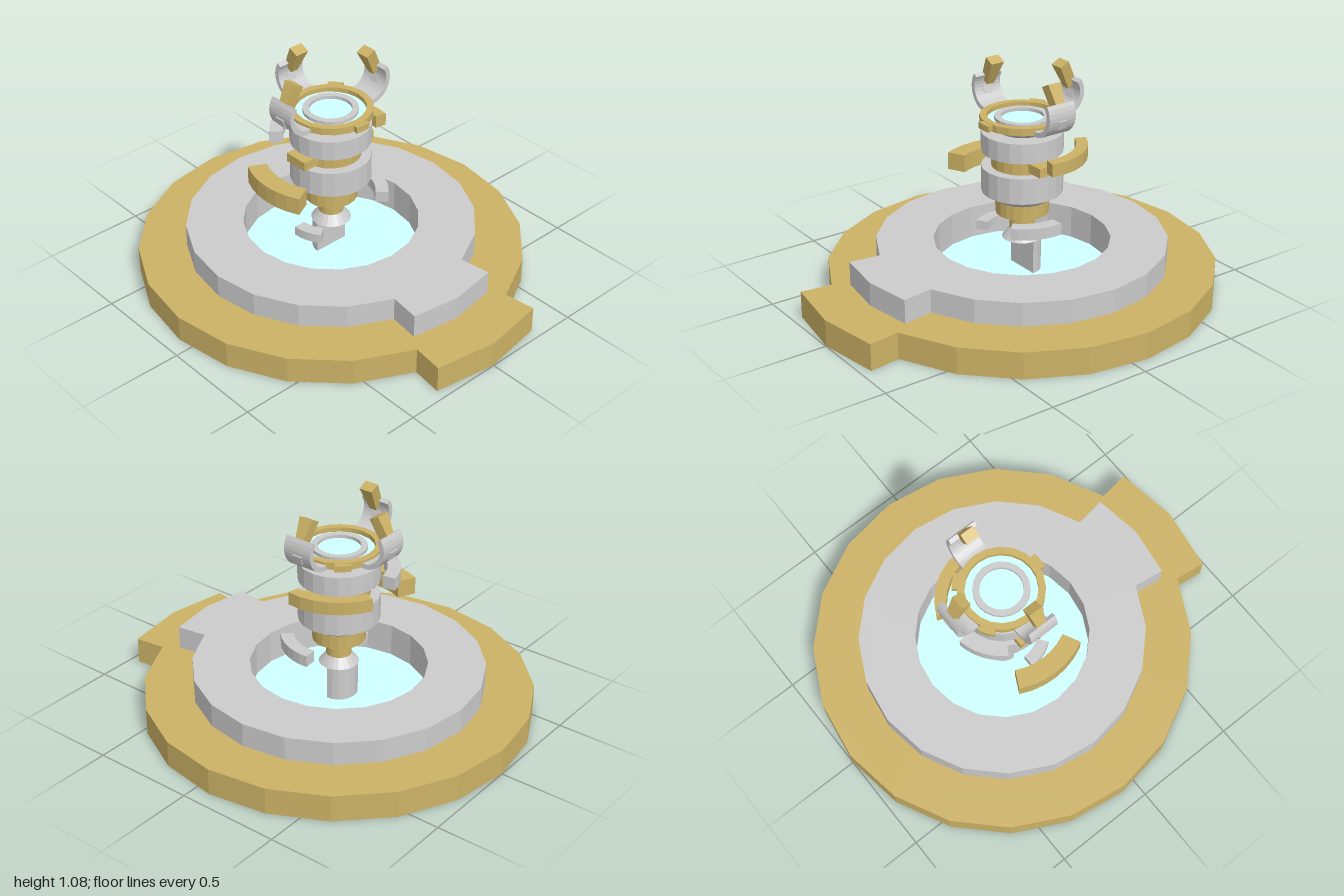
import * as THREE from 'three';

const paint = (color) => new THREE.MeshStandardMaterial({ color, flatShading: true, side: THREE.DoubleSide });
const SIDES = 20;

export function createModel() {
  const model = new THREE.Group();
  model.position.z = -0.077; // the round plan sits behind the front tab
  const grey = paint(0xcccccc), gold = paint(0xccb266), aqua = paint(0xd0ffff);

  const add = (name, geometry, material, parent = model) => {
    const mesh = new THREE.Mesh(geometry, material);
    mesh.name = name;
    parent.add(mesh);
    return mesh;
  };

  // Point on a circle in plan; angle in degrees from the front towards +x
  const polar = (r, deg) => {
    const a = THREE.MathUtils.degToRad(deg);
    return new THREE.Vector2(r * Math.sin(a), r * Math.cos(a));
  };
  const arcPoints = (r, from, to, n) =>
    Array.from({ length: n + 1 }, (_, i) => polar(r, from + ((to - from) * i) / n));
  const circle = (r) => arcPoints(r, 0, 360, SIDES).slice(0, SIDES);

  // Plan outline raised from y0 to y1
  const slab = (outline, y0, y1, hole) => {
    const shape = new THREE.Shape(outline);
    if (hole) shape.holes.push(new THREE.Path(hole));
    return new THREE.ExtrudeGeometry(shape, { depth: y1 - y0, bevelEnabled: false })
      .rotateX(Math.PI / 2).translate(0, y1, 0);
  };
  const sector = (rIn, rOut, from, to, n = 6) =>
    [...arcPoints(rOut, from, to, n), ...arcPoints(rIn, to, from, n)];
  const frustum = (r0, r1, y0, y1) =>
    new THREE.CylinderGeometry(r1, r0, y1 - y0, SIDES).translate(0, (y0 + y1) / 2, 0);

  // Twenty-sided plate outline with a tab at the front
  const tabbed = (r, tabX, tabZ, tipZ) => [
    ...arcPoints(r, 18, 342, 18),
    new THREE.Vector2(-tabX, tabZ), new THREE.Vector2(0, tipZ), new THREE.Vector2(tabX, tabZ),
  ];

  // Base plates with a sunken pool
  const baseOutline = tabbed(0.923, 0.305, 1.028, 1.075);
  add('baseFloor', slab(baseOutline, 0, 0.07), gold);
  add('baseRim', slab(baseOutline, 0.07, 0.13, circle(0.43)), gold);
  add('upperPlate', slab(tabbed(0.692, 0.235, 0.807, 0.842), 0.13, 0.245, circle(0.42)), grey);
  add('poolWall', new THREE.CylinderGeometry(0.42, 0.42, 0.06, SIDES, 1, true).translate(0, 0.1, 0), grey);
  add('pool', frustum(0.42, 0.42, 0.072, 0.085), aqua);

  // Half-round post under the column
  add('post', slab(arcPoints(0.09, 90, 270, 10), 0.085, 0.25), grey);

  // Column: bottom radius, top radius, bottom, top
  [
    ['columnFoot', 0.095, 0.06, 0.25, 0.295, grey],
    ['columnStem', 0.06, 0.06, 0.295, 0.38, gold],
    ['columnCollar', 0.126, 0.126, 0.38, 0.455, gold],
    ['lowerDrumTaper', 0.128, 0.192, 0.45, 0.49, grey],
    ['lowerDrum', 0.192, 0.192, 0.49, 0.615, grey],
    ['waist', 0.145, 0.145, 0.615, 0.69, gold],
    ['upperDrum', 0.192, 0.192, 0.69, 0.785, grey],
    ['cup', 0.11, 0.188, 0.785, 0.832, grey],
    ['cupPool', 0.17, 0.17, 0.83, 0.84, aqua],
  ].forEach(([name, r0, r1, y0, y1, material]) => add(name, frustum(r0, r1, y0, y1), material));
  for (const s of [-1, 1]) {
    add('waistBoss', new THREE.BoxGeometry(0.1, 0.045, 0.12).translate(s * 0.165, 0.65, 0), gold);
  }

  // Cup rim, its tabs and the inner ring
  add('cupRim', slab(circle(0.198), 0.828, 0.862, circle(0.165)), gold);
  for (const angle of [0, 132, 214]) {
    add('rimTab', slab(sector(0.18, 0.222, angle - 10, angle + 10, 2), 0.83, 0.86), gold);
  }
  add('innerRing', slab(circle(0.13), 0.835, 0.856, circle(0.1)), grey);

  // Floating arcs: inner and outer radius, angles, bottom and top
  [
    ['leftGoldArc', 0.305, 0.395, 243, 297, 0.515, 0.6, gold],
    ['rightGoldArc', 0.25, 0.305, 80, 157, 0.66, 0.722, gold],
    ['backGreyArc', 0.22, 0.282, 190, 238, 0.692, 0.752, grey],
    ['frontGreyArc', 0.21, 0.272, 42, 95, 0.347, 0.403, grey],
    ['lowGreyArc', 0.17, 0.228, 270, 306, 0.25, 0.295, grey],
  ].forEach(([name, rIn, rOut, from, to, y0, y1, material]) =>
    add(name, slab(sector(rIn, rOut, from, to), y0, y1), material));

  // Three claws around the cup: curved arm, stud and tapered tip
  const armGeometry = new THREE.ExtrudeGeometry(
    new THREE.Shape(sector(0.083, 0.106, 186, 54, 12)), { depth: 0.146, bevelEnabled: false })
    .translate(0.196, 0.932, -0.073);
  const tipGeometry = new THREE.BoxGeometry(0.052, 0.13, 0.07);
  const p = tipGeometry.attributes.position;
  for (let i = 0; i < p.count; i++) if (p.getY(i) < 0) p.setZ(i, p.getZ(i) * 0.55);
  tipGeometry.rotateZ(0.47).translate(0.245, 1.008, 0);
  const studGeometry = new THREE.BoxGeometry(0.03, 0.042, 0.048).rotateZ(-0.3).translate(0.286, 0.902, 0);
  for (const turn of [0, Math.PI / 2, Math.PI]) {
    const claw = new THREE.Group();
    claw.name = 'claw';
    claw.rotation.y = turn;
    add('clawArm', armGeometry, grey, claw);
    add('clawStud', studGeometry, grey, claw);
    add('clawTip', tipGeometry, gold, claw);
    model.add(claw);
  }

  const root = new THREE.Group();
  root.add(model);
  return root;
}
